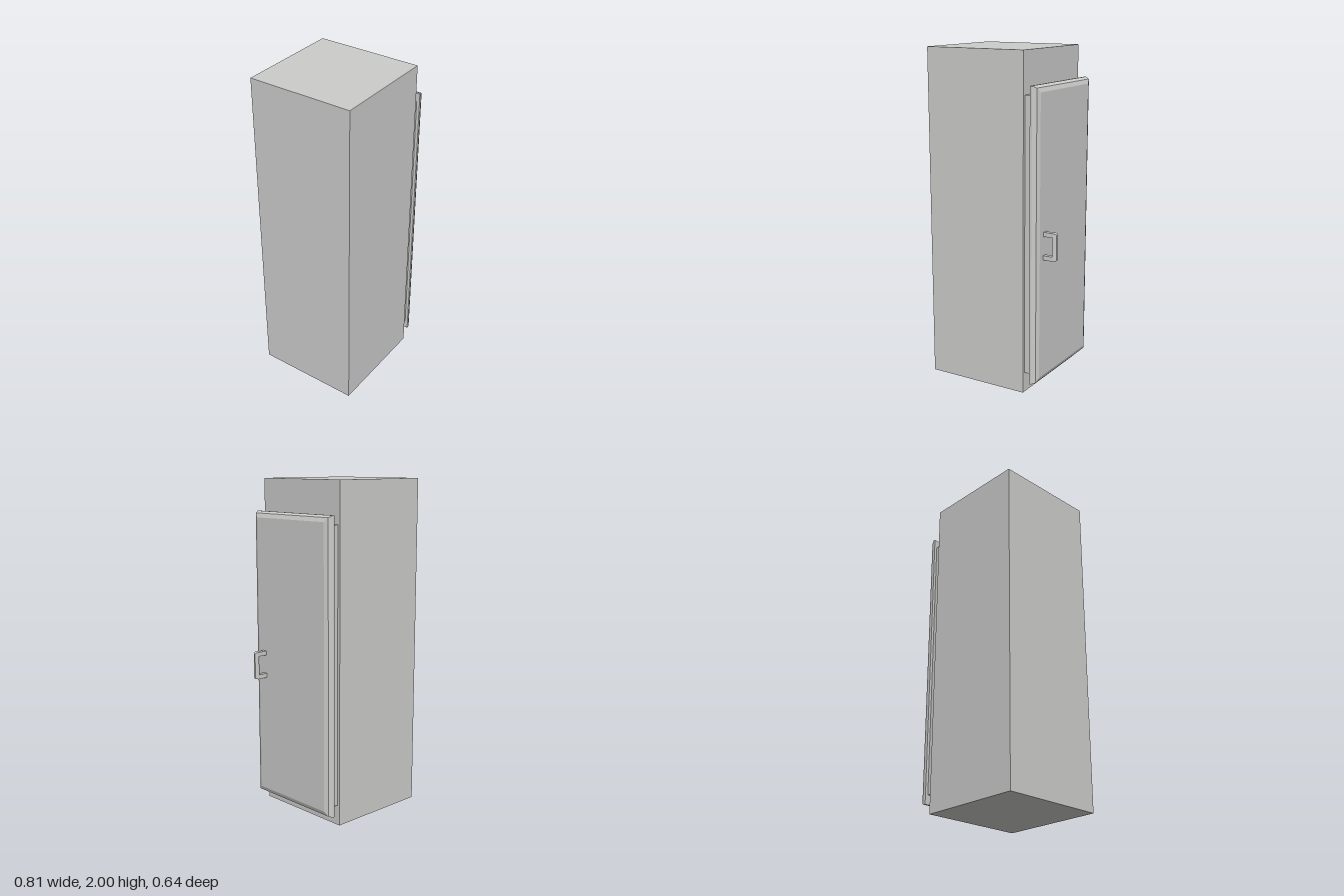
import * as THREE from 'three';

// Rectangular slab lofted along +x; each section is [x, inset from the outline].
function bevelledSlab(y0, y1, z0, z1, sections) {
  const rings = sections.map(([x, d]) => [
    [x, y0 + d, z0 + d], [x, y1 - d, z0 + d], [x, y1 - d, z1 - d], [x, y0 + d, z1 - d],
  ]);
  const pos = [];
  const quad = (a, b, c, d) => pos.push(...a, ...b, ...c, ...a, ...c, ...d);
  for (let r = 0; r < rings.length - 1; r++) {
    for (let i = 0; i < 4; i++) {
      const j = (i + 1) % 4;
      quad(rings[r][i], rings[r][j], rings[r + 1][j], rings[r + 1][i]);
    }
  }
  const back = rings[0], front = rings[rings.length - 1];
  quad(front[0], front[1], front[2], front[3]);
  quad(back[3], back[2], back[1], back[0]);
  const geo = new THREE.BufferGeometry();
  geo.setAttribute('position', new THREE.Float32BufferAttribute(pos, 3));
  geo.computeVertexNormals();
  return geo;
}

export function createModel() {
  const model = new THREE.Group();
  model.name = 'cabinet';
  const grey = new THREE.MeshStandardMaterial({ color: 0xcccccb });
  grey.name = 'light grey';

  const add = (name, geo, parent = model) => {
    const mesh = new THREE.Mesh(geo, grey);
    mesh.name = name;
    parent.add(mesh);
    return mesh;
  };
  const box = (name, [x0, x1], [y0, y1], [z0, z1], parent) =>
    add(name, new THREE.BoxGeometry(x1 - x0, y1 - y0, z1 - z0), parent)
      .position.set((x0 + x1) / 2, (y0 + y1) / 2, (z0 + z1) / 2);

  // Tall body and the recessed seal behind the door
  box('body', [-0.408, 0.236], [0, 2], [-0.322, 0.321]);
  box('doorSeal', [0.236, 0.277], [0.122, 1.757], [-0.305, 0.303]);

  // Door with a stepped bevel round its outer face
  add('door', bevelledSlab(0.065, 1.81, -0.322, 0.321,
    [[0.277, 0], [0.29, 0], [0.315, 0.011], [0.325, 0.036]]));

  // Bracket handle: two arms and a bevelled grip
  const handle = new THREE.Group();
  handle.name = 'handle';
  model.add(handle);
  const z = [0.218, 0.246];
  box('lowerArm', [0.323, 0.383], [0.815, 0.841], z, handle);
  box('upperArm', [0.323, 0.383], [0.954, 0.98], z, handle);
  add('grip', bevelledSlab(0.815, 0.98, z[0], z[1],
    [[0.383, 0], [0.392, 0], [0.402, 0.003], [0.407, 0.008]]), handle);

  return model;
}
